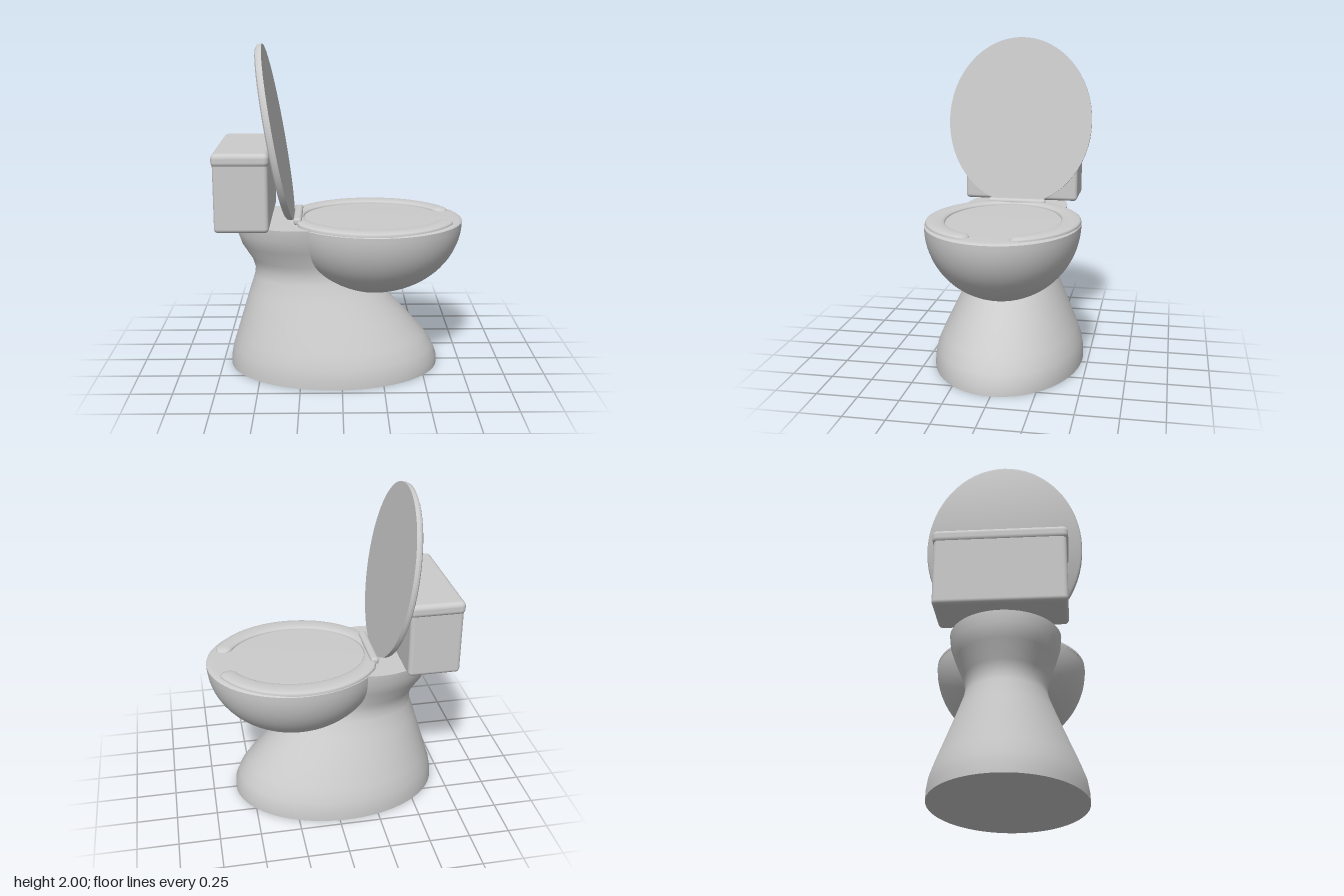
import * as THREE from 'three';
import { toCreasedNormals } from 'three/addons/utils/BufferGeometryUtils.js';
import { RoundedBoxGeometry } from 'three/addons/geometries/RoundedBoxGeometry.js';

const SEG = 64;
const material = new THREE.MeshStandardMaterial({ color: 0xcccccc, side: THREE.DoubleSide });

function addMesh(parent, name, geometry, x = 0, y = 0, z = 0) {
  const mesh = new THREE.Mesh(geometry, material);
  mesh.name = name;
  mesh.position.set(x, y, z);
  parent.add(mesh);
  return mesh;
}

// Skin over equal-length rows of points, each row following the one before.
function skin(rows) {
  const n = rows[0].length;
  const index = [];
  for (let i = 0; i < rows.length - 1; i++) {
    for (let j = 0; j < n - 1; j++) {
      const a = i * n + j, b = a + n;
      index.push(a, b, a + 1, b, b + 1, a + 1);
    }
  }
  const geometry = new THREE.BufferGeometry();
  geometry.setAttribute('position', new THREE.Float32BufferAttribute(rows.flat(2), 3));
  geometry.setIndex(index);
  return geometry;
}

function lathe(points, crease) {
  const geometry = new THREE.LatheGeometry(points.map(p => new THREE.Vector2(...p)), SEG);
  return toCreasedNormals(geometry, crease);
}

// Elliptical sections: height, back x, front x, half width
function pedestalGeometry() {
  const sections = [
    [0, -0.7, 0.605, 0.465], [0.05, -0.698, 0.603, 0.464], [0.12, -0.685, 0.575, 0.452],
    [0.2, -0.66, 0.52, 0.42], [0.34, -0.617, 0.395, 0.355], [0.48, -0.575, 0.265, 0.29],
    [0.58, -0.542, 0.17, 0.247], [0.63, -0.535, 0.14, 0.238], [0.69, -0.552, 0.12, 0.246],
    [0.79, -0.615, 0.1, 0.29], [0.87, -0.642, 0.1, 0.318], [0.94, -0.645, 0.1, 0.325],
  ];
  const ring = ([y, x0, x1, w]) => Array.from({ length: SEG + 1 }, (_, i) => {
    const t = (i / SEG) * Math.PI * 2;
    return [(x0 + x1) / 2 + Math.cos(t) * (x1 - x0) / 2, y, Math.sin(t) * w];
  });
  const point = (y, x) => Array.from({ length: SEG + 1 }, () => [x, y, 0]);
  const rows = [point(0, -0.05), ...sections.map(ring), point(0.94, -0.27)];
  return toCreasedNormals(skin(rows), 0.7);
}

// Open-front ring with a half-round section and rounded tips
function seatGeometry() {
  const tip = 0.29, round = 0.14, steps = 96, around = 16;
  const rows = [];
  for (let i = 0; i <= steps; i++) {
    // cosine spacing gathers rows at the tips
    const f = (1 - Math.cos((i / steps) * Math.PI)) / 2;
    const t = tip + f * (Math.PI * 2 - tip * 2);
    const d = Math.min(t - tip, Math.PI * 2 - tip - t, round) / round;
    const k = Math.sqrt(Math.max(0, 1 - (1 - d) ** 2));
    const row = [];
    for (let j = 0; j <= around; j++) {
      const a = (j / around) * Math.PI;
      const c = Math.cos(a) * k;
      const x = 0.19 + Math.cos(t) * (0.47 + 0.05 * c);
      const z = Math.sin(t) * (0.403 + 0.06 * c);
      row.push([Math.max(x, -0.265), 0.938 + 0.027 * Math.sqrt(Math.sin(a) + 1e-9) * k, z]);
    }
    rows.push(row);
  }
  const geometry = skin(rows.reverse());
  geometry.computeVertexNormals();
  return geometry;
}

export function createModel() {
  const model = new THREE.Group();
  model.name = 'toilet';

  addMesh(model, 'pedestal', pedestalGeometry());

  // Half-ellipsoid bowl, closed by a flat top with a soft lip
  const bowlProfile = [];
  for (let i = 0; i <= 24; i++) {
    const a = (i / 24) * Math.PI / 2;
    bowlProfile.push([Math.sin(a), -Math.cos(a)]);
  }
  bowlProfile.push([0.985, 0.015], [0.95, 0.022], [0.88, 0.025], [0, 0.025]);
  const bowlGeometry = lathe(bowlProfile, 0.7);
  bowlGeometry.scale(0.54, 0.458, 0.465);
  addMesh(model, 'bowl', bowlGeometry, 0.203, 0.934, 0);

  addMesh(model, 'seat', seatGeometry());
  addMesh(model, 'hinge', new RoundedBoxGeometry(0.05, 0.045, 0.375, 4, 0.018), -0.265, 0.96, 0);

  // Raised oval lid leaning back
  const lidGeometry = lathe(
    [[0, -0.021], [0.965, -0.021], [0.99, -0.013], [1, 0], [1, 0.021], [0, 0.021]], 0.6);
  lidGeometry.rotateZ(-Math.PI / 2);
  lidGeometry.scale(1, 0.537, 0.465);
  const lid = addMesh(model, 'lid', lidGeometry, -0.4, 1.467, 0);
  lid.rotation.z = 0.168;

  // Cistern and its cover
  addMesh(model, 'tank', new RoundedBoxGeometry(0.318, 0.43, 0.745, 4, 0.025), -0.583, 1.155, 0);
  addMesh(model, 'tankCover', new RoundedBoxGeometry(0.332, 0.08, 0.764, 4, 0.03), -0.583, 1.368, 0);

  return model;
}
